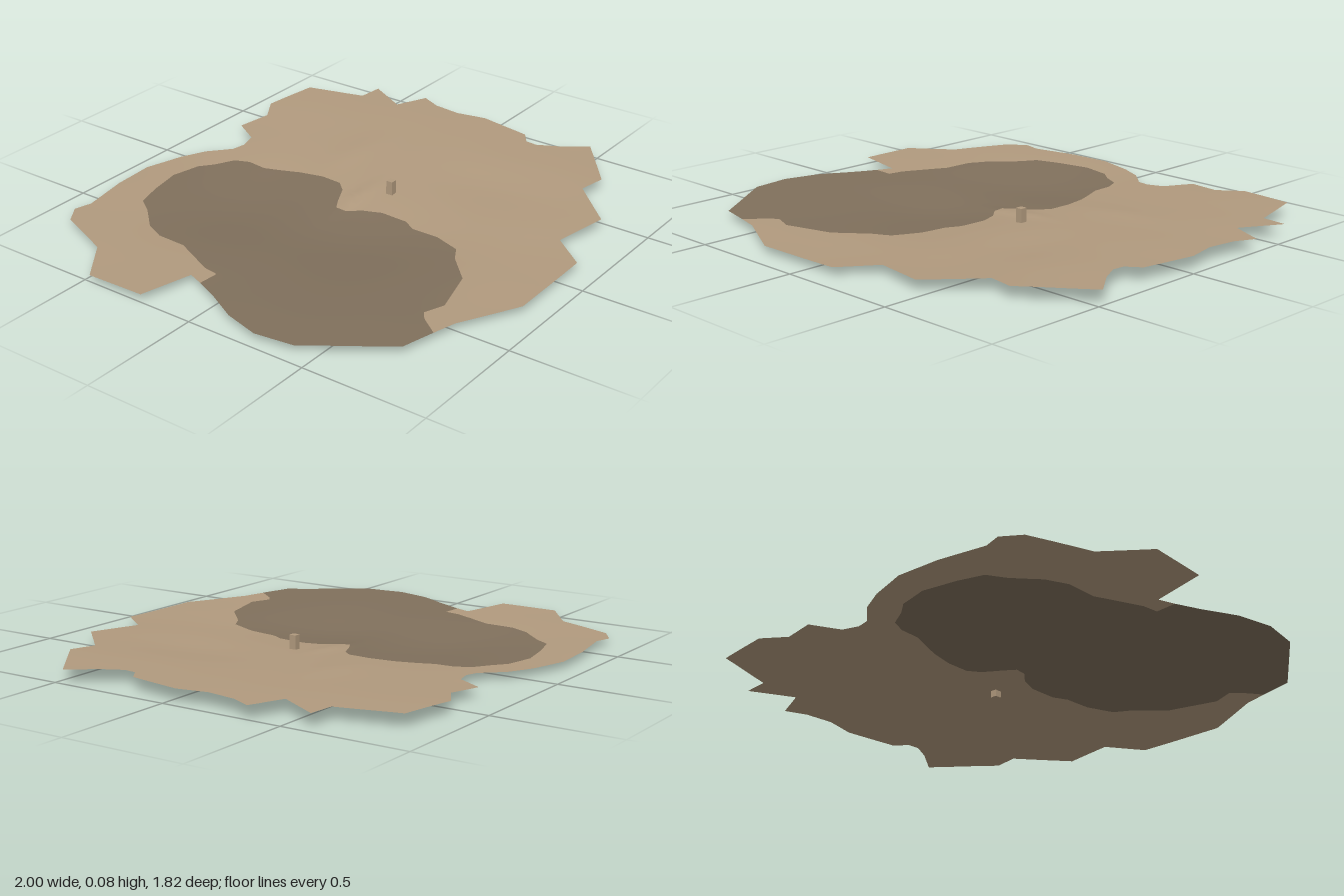
import * as THREE from 'three';

// Outline points are x, z pairs seen from above
// Dry ground rim, clockwise around the back, right and front
const dryRim = [
  -0.78, -0.18, -0.995, -0.23, -1, -0.475, -0.83, -0.6, -0.78, -0.72, -0.73, -0.84,
  -0.655, -0.89, -0.585, -0.87, -0.39, -0.905, -0.215, -0.915, -0.06, -0.87, 0.04, -0.82,
  0.125, -0.74, 0.18, -0.727, 0.25, -0.745, 0.315, -0.855, 0.455, -0.825, 0.555, -0.885,
  0.79, -0.85, 0.855, -0.605, 0.96, -0.595, 0.865, -0.425, 1, -0.365, 0.96, -0.28,
  0.945, -0.16, 0.97, -0.035, 0.93, 0.19, 0.875, 0.23, 0.87, 0.28, 0.91, 0.36,
  0.99, 0.47, 0.745, 0.66, 0.635, 0.635, 0.455, 0.82, 0.23, 0.77, 0.12, 0.907,
  -0.26, 0.907, -0.5, 0.78,
];

// Shoreline between the dry ground and the basin
const shore = [
  -0.805, -0.115, -0.72, -0.11, -0.71, -0.175, -0.67, -0.26, -0.625, -0.355, -0.62, -0.48,
  -0.58, -0.565, -0.49, -0.66, -0.445, -0.725, -0.34, -0.757, -0.2, -0.783, -0.08, -0.757,
  -0.027, -0.714, 0.05, -0.67, 0.075, -0.61, 0.07, -0.53, 0.123, -0.388, 0.144, -0.286,
  0.139, -0.195, 0.1, -0.152, 0.02, -0.115, -0.027, -0.088, -0.027, -0.045, 0.016, 0.008,
  0.043, 0.083, 0.037, 0.2, 0.005, 0.254, 0, 0.37, -0.043, 0.484, -0.107, 0.52,
  -0.22, 0.628, -0.417, 0.682, -0.5, 0.65, -0.535, 0.676, -0.595, 0.755,
];

// Outer rim of the basin, front to left
const basinRim = [-0.73, 0.72, -0.94, 0.42, -0.96, 0.26, -0.92, 0.115, -0.85, -0.015];

const toPoints = (flat) => {
  const points = [];
  for (let i = 0; i < flat.length; i += 2) points.push(new THREE.Vector2(flat[i], flat[i + 1]));
  return points;
};

const bump = (x, z, cx, cz, rx, rz) => Math.exp(-(((x - cx) / rx) ** 2) - ((z - cz) / rz) ** 2);

// Ground height: gentle rise to the right, two hollows and small ridges
function height(x, z) {
  return 0.031 + 0.023 * THREE.MathUtils.smoothstep(x, -0.1, 0.85)
    - 0.026 * bump(x, z, -0.2, 0.13, 0.3, 0.3)
    - 0.022 * bump(x, z, -0.22, -0.4, 0.3, 0.26)
    - 0.007 * bump(x, z, 0.45, 0.3, 0.16, 0.3)
    + 0.007 * bump(x, z, 0.08, -0.07, 0.14, 0.035)
    + 0.004 * bump(x, z, 0.4, -0.3, 0.16, 0.07)
    + 0.0008 * Math.sin(9 * x + 5 * z) * Math.sin(11 * z - 4 * x);
}

// Fill an outline, split long edges at their midpoints and drape it over the ground
function terrain(outline, maxEdge = 0.06) {
  const positions = [];
  const normals = [];
  const normal = new THREE.Vector3();
  const e = 0.01;
  const addVertex = (p) => {
    positions.push(p.x, height(p.x, p.y), p.y);
    normal.set(
      height(p.x - e, p.y) - height(p.x + e, p.y),
      2 * e,
      height(p.x, p.y - e) - height(p.x, p.y + e),
    ).normalize();
    normals.push(normal.x, normal.y, normal.z);
  };
  const split = (a, b, c) => {
    const ab = a.distanceTo(b);
    const bc = b.distanceTo(c);
    const ca = c.distanceTo(a);
    const longest = Math.max(ab, bc, ca);
    if (longest <= maxEdge) {
      [a, b, c].forEach(addVertex);
    } else if (longest === ab) {
      const m = a.clone().add(b).multiplyScalar(0.5);
      split(a, m, c);
      split(m, b, c);
    } else if (longest === bc) {
      split(b, c, a);
    } else {
      split(c, a, b);
    }
  };
  for (const [i, j, k] of THREE.ShapeUtils.triangulateShape(outline, [])) {
    const [a, b, c] = [outline[i], outline[j], outline[k]];
    const turn = (b.x - a.x) * (c.y - a.y) - (b.y - a.y) * (c.x - a.x);
    if (turn < 0) split(a, b, c);
    else split(a, c, b);
  }
  const geometry = new THREE.BufferGeometry();
  geometry.setAttribute('position', new THREE.Float32BufferAttribute(positions, 3));
  geometry.setAttribute('normal', new THREE.Float32BufferAttribute(normals, 3));
  return geometry;
}

export function createModel() {
  const group = new THREE.Group();
  group.name = 'terrain';

  const sand = new THREE.MeshStandardMaterial({ color: 0xb19a7e, side: THREE.DoubleSide });
  sand.name = 'dry sand';
  const mud = new THREE.MeshStandardMaterial({ color: 0x80705c, side: THREE.DoubleSide });
  mud.name = 'wet mud';

  const add = (name, geometry, material) => {
    const mesh = new THREE.Mesh(geometry, material);
    mesh.name = name;
    group.add(mesh);
    return mesh;
  };

  // Dry ground and basin share the shoreline
  const shorePoints = toPoints(shore);
  add('dryGround', terrain([...toPoints(dryRim), ...shorePoints.slice().reverse()]), sand);
  add('basin', terrain([...shorePoints, ...toPoints(basinRim)]), mud);

  // Small square marker post
  add('post', new THREE.BoxGeometry(0.028, 0.084, 0.028), sand).position.set(0.185, 0.045, 0.025);

  return group;
}
